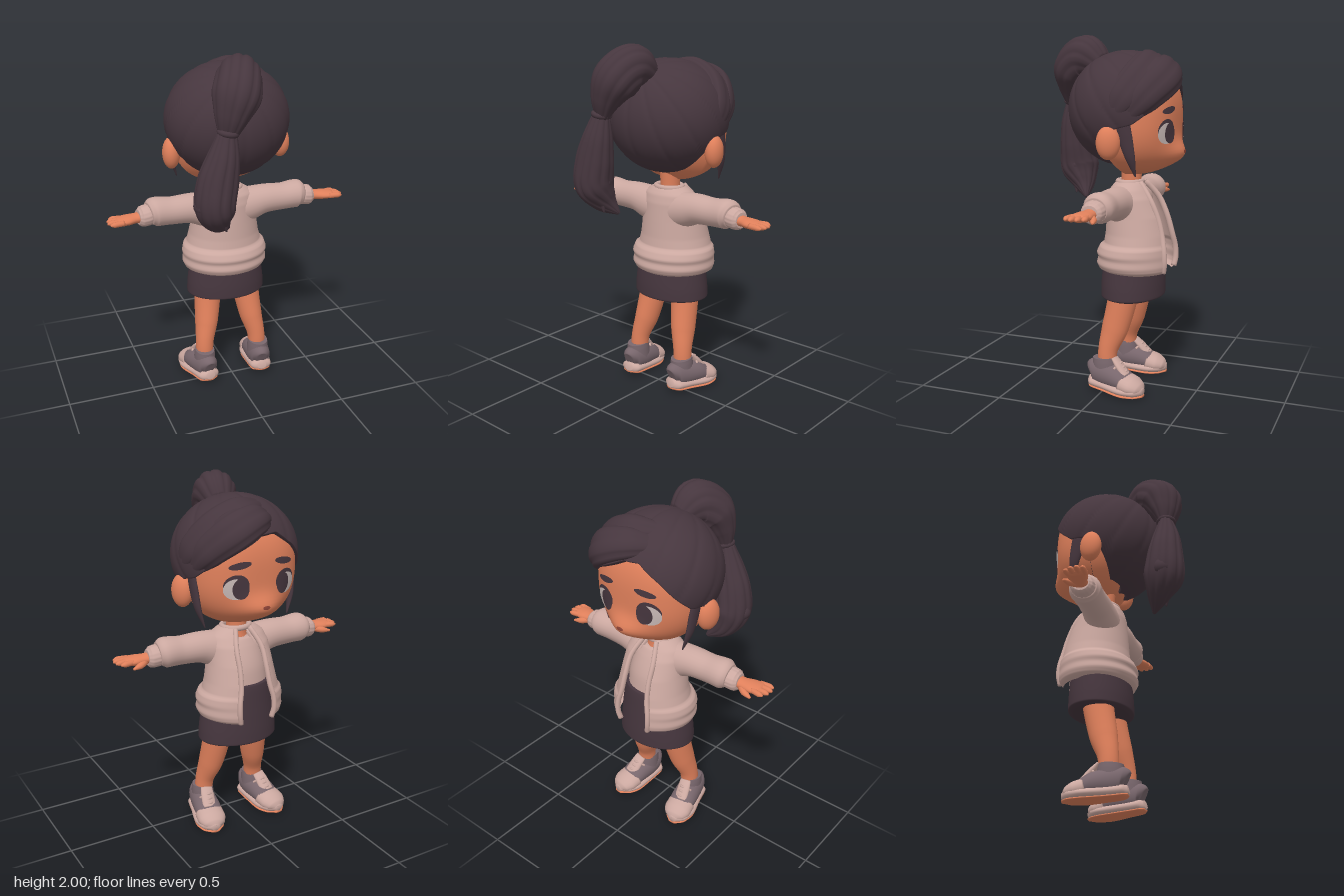
import * as THREE from 'three';
import { mergeVertices } from 'three/addons/utils/BufferGeometryUtils.js';
import { ParametricGeometry } from 'three/addons/geometries/ParametricGeometry.js';

const V = (x, y, z) => new THREE.Vector3(x, y, z);
const material = (name, color, side = THREE.FrontSide) => {
  const m = new THREE.MeshStandardMaterial({ color, side });
  m.name = name;
  return m;
};

// Weld seams and poles so the shading is continuous
function smooth(g) {
  g.deleteAttribute('uv');
  g.deleteAttribute('normal');
  g = mergeVertices(g, 1e-4);
  g.computeVertexNormals();
  return g;
}
const surface = (fn, nu, nv) => smooth(new ParametricGeometry(fn, nu, nv));

// Closed tube through rows [x, y, z, radius along ref, radius across ref]
function loft(rows, ref, { nu = 24, nv = 30, lobes = 0, depth = 0.2 } = {}) {
  const path = new THREE.CatmullRomCurve3(rows.map(r => V(r[0], r[1], r[2])));
  const size = new THREE.CatmullRomCurve3(rows.map(r => V(r[3], r[4], 0)));
  return surface((u, v, out) => {
    const k = Math.min(1, Math.max(0, (v * nv - 1) / (nv - 2)));
    const p = path.getPoint(k), t = path.getTangent(k), r = size.getPoint(k);
    const s = (typeof ref === 'function' ? ref(p) : ref).clone();
    s.addScaledVector(t, -s.dot(t)).normalize();
    const w = t.clone().cross(s), a = u * Math.PI * 2;
    let f = v * nv < 0.5 || v * nv > nv - 0.5 ? 0 : 1;
    if (lobes) f *= 1 - depth * (1 - Math.abs(Math.sin(a * lobes / 2))) ** 2;
    out.copy(p).addScaledVector(s, Math.cos(a) * r.x * f).addScaledVector(w, Math.sin(a) * r.y * f);
  }, nu, nv);
}

// Linear lookup in rows whose first value rises; returns the row's other values
function lookup(rows, x) {
  let i = 0;
  while (i < rows.length - 2 && x > rows[i + 1][0]) i++;
  const a = rows[i], b = rows[i + 1], k = Math.min(1, Math.max(0, (x - a[0]) / (b[0] - a[0])));
  return a.slice(1).map((n, j) => n + (b[j + 1] - n) * k);
}

// Head: rounded-box ellipsoid with a small muzzle on the -z side
const HEAD = { y: 1.54, z: -0.1, rx: 0.31, ry: 0.31, rz: 0.27, p: 2.5 };
const muzzle = (x, y) => 0.072 * Math.exp(-((x / 0.13) ** 2) - ((y - 1.34) / 0.075) ** 2);
function faceZ(x, y) {
  const { p } = HEAD;
  const rest = 1 - Math.abs(x / HEAD.rx) ** p - Math.abs((y - HEAD.y) / HEAD.ry) ** p;
  return HEAD.z - HEAD.rz * Math.max(0, rest) ** (1 / p) - muzzle(x, y);
}

export function createModel() {
  const model = new THREE.Group();
  const dark = material('dark hair and skirt', 0x46363e, THREE.DoubleSide);
  const skin = material('skin', 0xe0805b);
  const cream = material('cream cloth', 0xcba8a0, THREE.DoubleSide);
  const grey = material('shoe grey', 0x78666c);
  const white = material('eye white', 0xc9bab7);
  const red = material('mouth', 0x8c4336);
  const add = (name, geo, mat) => {
    const m = new THREE.Mesh(geo, mat);
    m.name = name;
    model.add(m);
  };
  const X = V(1, 0, 0), Y = V(0, 1, 0);
  const outward = p => V(p.x, p.y - 1.58, p.z + 0.08);
  const flip = (s, rows) => rows.map(([x, ...r]) => [x * s, ...r]);

  // Head, narrowed at the back to stay under the hair
  const head = new THREE.SphereGeometry(1, 72, 56), hp = head.attributes.position;
  for (let i = 0; i < hp.count; i++) {
    const d = V().fromBufferAttribute(hp, i), p = HEAD.p;
    d.divideScalar((Math.abs(d.x) ** p + Math.abs(d.y) ** p + Math.abs(d.z) ** p) ** (1 / p));
    const narrow = 1 - 0.35 * Math.max(0, d.z);
    const x = d.x * HEAD.rx * narrow, y = HEAD.y + d.y * HEAD.ry * narrow;
    hp.setXYZ(i, x, y, HEAD.z + (d.z < 0 ? d.z * HEAD.rz - muzzle(x, y) : d.z * 0.18));
  }
  add('head', smooth(head), skin);
  add('neck', loft([[0, 1.08, -0.1, 0.075, 0.07], [0, 1.17, -0.1, 0.056, 0.056], [0, 1.28, -0.1, 0.06, 0.06]], X), skin);

  // Face plates that follow the face surface
  const plate = (name, mat, cx, cy, rx, ry, turn, lift) => {
    const g = new THREE.RingGeometry(0.001, 1, 32, 5);
    g.scale(rx, ry, 1).rotateZ(turn).rotateY(Math.PI).translate(cx, cy, 0);
    const p = g.attributes.position;
    for (let i = 0; i < p.count; i++) p.setZ(i, faceZ(p.getX(i), p.getY(i)) - lift);
    g.computeVertexNormals();
    add(name, g, mat);
  };
  for (const s of [1, -1]) {
    plate('eyelid line', dark, s * 0.146, 1.484, 0.066, 0.062, 0, 0.003);
    plate('eye white', white, s * 0.15, 1.47, 0.062, 0.056, 0, 0.005);
    plate('iris', dark, s * 0.126, 1.472, 0.044, 0.056, 0, 0.007);
    plate('eyebrow', dark, s * 0.13, 1.592, 0.06, 0.018, s * 0.15, 0.006);
    add('ear', new THREE.SphereGeometry(1, 28, 20).scale(0.05, 0.09, 0.065)
      .rotateY(s * 0.3).translate(s * 0.322, 1.425, -0.085), skin);
  }
  plate('mouth', red, 0, 1.365, 0.022, 0.01, 0, 0.005);

  // Hair cap: swept from the crown to a hairline height for each angle from the face
  const hairline = [[-3.15, 1.276], [-1.95, 1.3], [-1.6, 1.48], [-1.15, 1.5], [-0.9, 1.57], [-0.65, 1.66], [-0.3, 1.745],
    [0, 1.74], [0.4, 1.67], [0.8, 1.6], [1.15, 1.52], [1.6, 1.48], [1.95, 1.3], [3.15, 1.276]];
  const axis = V(-0.05, 0.8, 0.55).normalize(), e1 = V(1, 0, 0).cross(axis).normalize(), e2 = axis.clone().cross(e1);
  add('hair cap', surface((u, v, out) => {
    const a = (u * 2 - 1) * Math.PI, end = Math.acos(Math.max(-1, (lookup(hairline, a)[0] - 1.59) / 0.32));
    const phi = end * Math.min(1, v / 0.93);
    out.set(Math.sin(phi) * Math.sin(a), Math.cos(phi), -Math.sin(phi) * Math.cos(a));
    const strand = Math.atan2(out.dot(e1), out.dot(e2));
    const fade = Math.min(1, 2 * Math.acos(Math.min(1, out.dot(axis))));
    let f = 1 - 0.016 * fade * (1 - Math.abs(Math.sin(strand * 6))) ** 3;
    f -= 0.025 * Math.exp(-(((a + 0.3) / 0.4) ** 2)) * Math.sin(phi);
    if (v > 0.93) f *= 1 - 0.22 * (v - 0.93) / 0.07;
    out.set(out.x * 0.35 * f, 1.59 + out.y * 0.32 * f, -0.08 + out.z * 0.33 * f);
  }, 160, 84), dark);

  // Swept fringe, parted on the -x side
  const fringe = [
    [[-0.1, 1.8, -0.23, 0.03, 0.05], [0.02, 1.81, -0.31, 0.06, 0.09], [0.15, 1.765, -0.33, 0.065, 0.105],
      [0.26, 1.66, -0.255, 0.055, 0.09], [0.315, 1.53, -0.15, 0.015, 0.03]],
    [[-0.09, 1.85, -0.17, 0.03, 0.05], [0.06, 1.85, -0.24, 0.05, 0.09], [0.2, 1.78, -0.23, 0.055, 0.1],
      [0.3, 1.66, -0.16, 0.045, 0.09], [0.325, 1.53, -0.08, 0.015, 0.03]]];
  for (const rows of fringe) add('fringe lock', loft(rows, outward, { nu: 36, lobes: 6, depth: 0.1 }), dark);
  for (const s of [1, -1]) add('side lock', loft(flip(s, [[0.3, 1.58, -0.15, 0.02, 0.04],
    [0.298, 1.46, -0.17, 0.018, 0.04], [0.288, 1.35, -0.195, 0.015, 0.028], [0.258, 1.245, -0.215, 0.003, 0.004]]), X), dark);

  // Ponytail
  add('ponytail top', loft([[0, 1.82, 0.07, 0.07, 0.07], [-0.03, 1.865, 0.18, 0.132, 0.12],
    [-0.07, 1.81, 0.265, 0.128, 0.13], [-0.11, 1.71, 0.3, 0.085, 0.095], [-0.135, 1.61, 0.31, 0.035, 0.05]],
    outward, { nu: 64, lobes: 11, depth: 0.08 }), dark);
  add('hair tie', new THREE.TorusGeometry(0.042, 0.016, 12, 28).rotateX(Math.PI / 2).rotateZ(-0.2)
    .translate(-0.135, 1.625, 0.31), dark);
  add('ponytail', loft([[-0.135, 1.63, 0.31, 0.04, 0.05], [-0.16, 1.5, 0.315, 0.08, 0.088],
    [-0.19, 1.37, 0.313, 0.102, 0.112], [-0.205, 1.24, 0.305, 0.115, 0.112], [-0.17, 1.14, 0.265, 0.07, 0.08],
    [-0.1, 1.065, 0.22, 0.008, 0.01]], V(0, 0, 1), { nu: 64, lobes: 11, depth: 0.1 }), dark);
  for (const [x, y, z] of [[-0.2, 1.1, 0.26], [-0.255, 1.13, 0.33], [-0.16, 1.08, 0.3]])
    add('ponytail tip', loft([[x, 1.32, 0.31, 0.04, 0.045], [x, 1.21, 0.31, 0.04, 0.045],
      [x + 0.02, y, z, 0.004, 0.004]], V(0, 0, 1)), dark);

  // Jacket shell, open at the front: rows of -height, half width, back z, front z
  const gap = 0.45;
  const coat = [[-1.195, 0.08, -0.03, -0.16], [-1.18, 0.115, -0.01, -0.185], [-1.15, 0.16, 0.012, -0.21],
    [-1.1, 0.18, 0.025, -0.25], [-1.0, 0.19, 0.033, -0.3], [-0.9, 0.207, 0.04, -0.33], [-0.845, 0.222, 0.048, -0.34],
    [-0.83, 0.242, 0.07, -0.348], [-0.79, 0.253, 0.09, -0.352], [-0.765, 0.246, 0.08, -0.352],
    [-0.73, 0.252, 0.09, -0.355], [-0.7, 0.238, 0.075, -0.35], [-0.685, 0.205, 0.045, -0.33]];
  const coatPoint = (a, v) => {
    const y = 1.195 - 0.51 * v, [half, back, front] = lookup(coat, -y);
    return V(half * Math.sin(a), y, (back + front) / 2 - (back - front) / 2 * Math.cos(a));
  };
  add('jacket', surface((u, v, out) => out.copy(coatPoint(gap + u * (Math.PI * 2 - 2 * gap), v)), 64, 60), cream);
  add('jacket collar', new THREE.TorusGeometry(0.08, 0.016, 10, 36).rotateX(Math.PI / 2).scale(1, 1, 0.85)
    .translate(0, 1.185, -0.092), cream);
  for (const s of [1, -1]) {
    const edge = [0.02, 0.2, 0.4, 0.6, 0.75, 0.88, 0.98].map(v => [...coatPoint(s * gap, v).toArray(), 0.014, 0.016]);
    add('jacket edge', loft(edge, X, { nu: 14 }), cream);
    add('sleeve', loft(flip(s, [[0.06, 1.055, -0.085, 0.11, 0.1], [0.14, 1.072, -0.08, 0.1, 0.094], [0.22, 1.088, -0.078, 0.086, 0.087],
      [0.34, 1.09, -0.075, 0.079, 0.082], [0.43, 1.095, -0.075, 0.083, 0.088], [0.468, 1.09, -0.07, 0.062, 0.068]]), Y), cream);
    add('cuff', loft(flip(s, [[0.45, 1.09, -0.07, 0.056, 0.062], [0.475, 1.085, -0.07, 0.06, 0.066],
      [0.51, 1.08, -0.068, 0.058, 0.062], [0.53, 1.08, -0.066, 0.042, 0.046]]), Y, { nu: 60, lobes: 16, depth: 0.04 }), cream);

    // Hand
    add('palm', loft(flip(s, [[0.5, 1.08, -0.066, 0.03, 0.038], [0.55, 1.077, -0.064, 0.027, 0.042],
      [0.6, 1.076, -0.056, 0.026, 0.054], [0.645, 1.076, -0.048, 0.021, 0.054], [0.667, 1.076, -0.046, 0.006, 0.04]]), Y), skin);
    [[-0.088, -0.097, 0.69], [-0.062, -0.066, 0.706], [-0.034, -0.033, 0.708], [-0.01, -0.003, 0.697]].forEach(([z0, z1, x]) =>
      add('finger', loft(flip(s, [[0.62, 1.077, z0, 0.016, 0.017], [x - 0.022, 1.077, z1, 0.015, 0.016],
        [x, 1.075, z1, 0.005, 0.006]]), Y, { nu: 12, nv: 14 }), skin));
    add('thumb', loft(flip(s, [[0.54, 1.07, -0.075, 0.02, 0.022], [0.585, 1.06, -0.108, 0.018, 0.02],
      [0.632, 1.052, -0.124, 0.006, 0.007]]), Y, { nu: 12, nv: 14 }), skin);

    // Leg and shoe
    add('leg', loft(flip(s, [[0.115, 0.64, -0.105, 0.08, 0.088], [0.122, 0.52, -0.09, 0.078, 0.084],
      [0.142, 0.36, -0.055, 0.068, 0.076], [0.165, 0.24, -0.022, 0.053, 0.056], [0.17, 0.11, -0.015, 0.05, 0.05]]), X), skin);
    add('shoe upper', loft(flip(s, [[0.167, 0.1, 0.075, 0.05, 0.03], [0.169, 0.11, 0.055, 0.07, 0.058],
      [0.178, 0.1, -0.02, 0.075, 0.072], [0.19, 0.09, -0.09, 0.068, 0.077], [0.2, 0.068, -0.16, 0.048, 0.074]]), Y), grey);
    add('shoe collar', loft(flip(s, [[0.172, 0.1, -0.01, 0.065, 0.08], [0.172, 0.17, -0.006, 0.061, 0.072],
      [0.172, 0.198, -0.004, 0.057, 0.068]]), X), grey);
    add('toe cap', loft(flip(s, [[0.197, 0.07, -0.13, 0.06, 0.082], [0.207, 0.058, -0.185, 0.052, 0.082],
      [0.213, 0.045, -0.225, 0.036, 0.06], [0.216, 0.037, -0.246, 0.012, 0.022]]), Y), cream);
    add('tongue', loft(flip(s, [[0.178, 0.2, -0.066, 0.035, 0.012], [0.188, 0.16, -0.1, 0.04, 0.02],
      [0.198, 0.11, -0.145, 0.042, 0.02]]), X), cream);
    for (let i = 0; i < 3; i++) {
      const x = 0.184 + i * 0.005, y = 0.172 - i * 0.02, z = -0.1 - i * 0.018;
      add('lace', loft(flip(s, [[x - 0.045, y - 0.022, z + 0.02, 0.007, 0.007], [x, y + 0.006, z - 0.008, 0.008, 0.008],
        [x + 0.045, y - 0.022, z + 0.02, 0.007, 0.007]]), Y, { nu: 8, nv: 12 }), cream);
    }
    const sole = (name, mat, dy, ry, grow) => add(name, loft(flip(s, [[0.165, 0.062 + dy, 0.088, ry * 0.7, 0.025],
      [0.168, 0.055 + dy, 0.062, ry, 0.064 + grow], [0.18, 0.046 + dy, -0.03, ry, 0.076 + grow],
      [0.2, 0.038 + dy, -0.14, ry, 0.09 + grow], [0.212, 0.037 + dy, -0.21, ry, 0.072 + grow],
      [0.216, 0.037 + dy, -0.25, ry * 0.6, 0.022]]), Y), mat);
    sole('sole', cream, 0, 0.033, 0);
    sole('sole underside', skin, -0.026, 0.011, -0.007);
  }

  // Shirt and skirt
  add('shirt', loft([[0, 0.8, -0.12, 0.18, 0.14], [0, 0.95, -0.115, 0.165, 0.13], [0, 1.07, -0.1, 0.14, 0.1],
    [0, 1.12, -0.095, 0.11, 0.078], [0, 1.135, -0.095, 0.075, 0.062]], X, { nu: 40 }), cream);
  add('skirt', loft([[0, 0.528, -0.115, 0.205, 0.15], [0, 0.543, -0.115, 0.234, 0.177], [0, 0.6, -0.115, 0.231, 0.177],
    [0, 0.72, -0.118, 0.215, 0.168], [0, 0.84, -0.125, 0.193, 0.152], [0, 0.88, -0.125, 0.183, 0.145]], X, { nu: 48 }), dark);
  return model;
}
